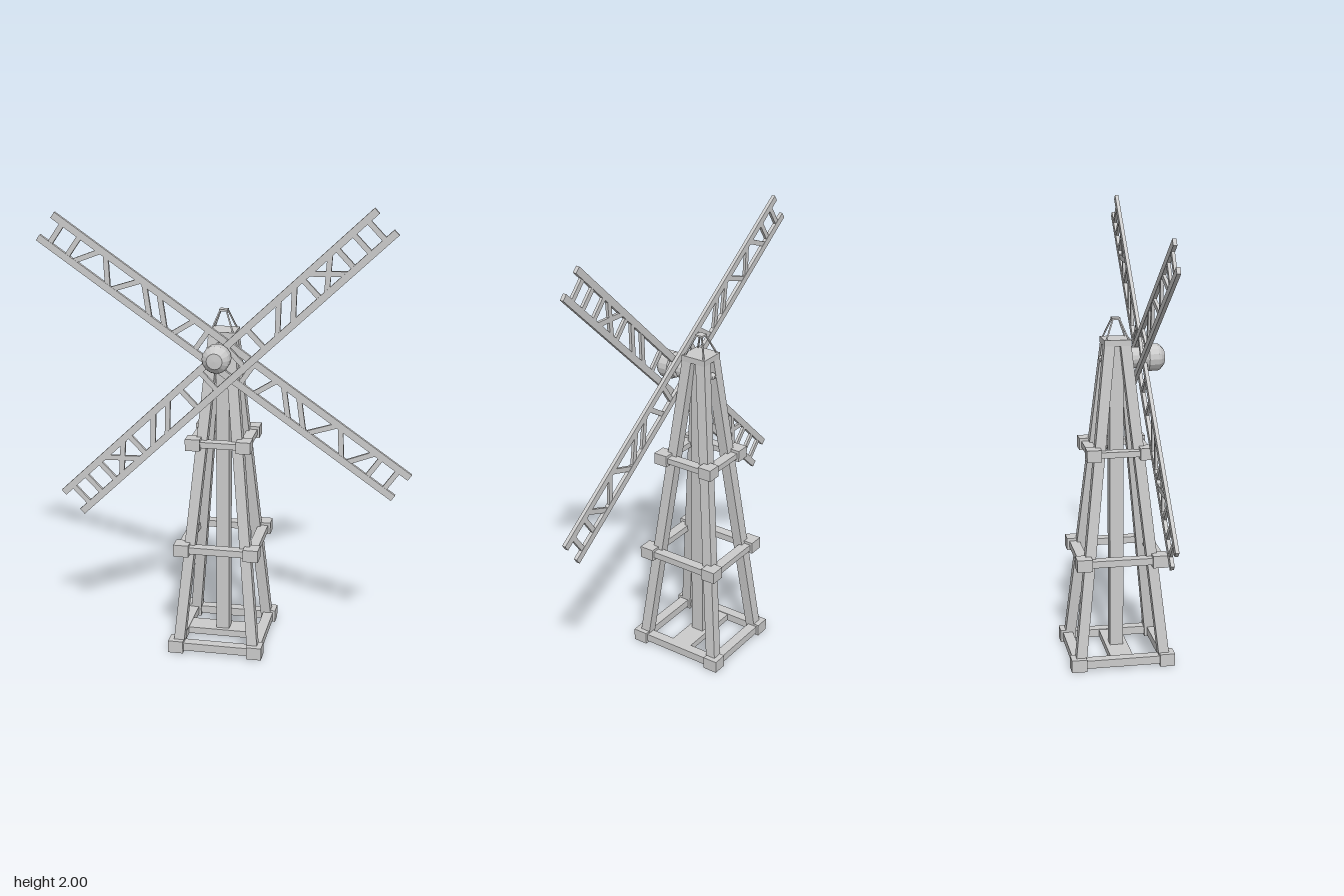
import * as THREE from 'three';

const mat = new THREE.MeshStandardMaterial({ color: 0xcccccc, flatShading: true });
const UP = new THREE.Vector3(0, 1, 0);
const CX = -0.02; // tower axis

function add(parent, name, geometry, x = 0, y = 0, z = 0) {
  const mesh = new THREE.Mesh(geometry, mat);
  mesh.name = name;
  mesh.position.set(x, y, z);
  parent.add(mesh);
  return mesh;
}

function box(parent, name, w, h, d, x, y, z) {
  return add(parent, name, new THREE.BoxGeometry(w, h, d), x, y, z);
}

// Square timber running between two points
function beam(parent, name, a, b, w, d) {
  const from = new THREE.Vector3(...a), to = new THREE.Vector3(...b);
  const dir = to.clone().sub(from);
  const mesh = add(parent, name, new THREE.BoxGeometry(w, dir.length(), d));
  mesh.position.copy(from).add(to).multiplyScalar(0.5);
  mesh.quaternion.setFromUnitVectors(UP, dir.normalize());
  return mesh;
}

// Calls fn for each of the four corners
function corners(fn) {
  for (const sx of [-1, 1]) for (const sz of [-1, 1]) fn(sx, sz);
}

// Square ring of bars with a block on each corner
function frame(parent, name, hx, hz, y, size, height, barHeight, barDepth) {
  const g = new THREE.Group();
  g.name = name;
  g.position.y = y;
  parent.add(g);
  const cx = hx - size / 2, cz = hz - size / 2;
  corners((sx, sz) => box(g, 'cornerBlock', size, height, size, sx * cx, 0, sz * cz));
  for (const s of [-1, 1]) {
    box(g, 'crossBar', 2 * cx, barHeight, barDepth, 0, 0, s * cz);
    box(g, 'sideBar', barDepth, barHeight, 2 * cz, s * cx, 0, 0);
  }
}

function makeTower() {
  const g = new THREE.Group();
  g.name = 'tower';
  g.position.x = CX;
  frame(g, 'baseFrame', 0.21, 0.23, 0.03, 0.067, 0.056, 0.036, 0.045);
  frame(g, 'lowerFrame', 0.188, 0.2, 0.482, 0.067, 0.054, 0.03, 0.045);
  frame(g, 'upperFrame', 0.143, 0.148, 0.957, 0.064, 0.052, 0.026, 0.045);
  box(g, 'floorPlank', 0.36, 0.03, 0.1, 0, 0.03, 0);
  box(g, 'centrePost', 0.058, 1.38, 0.06, 0, 0.735, 0);
  corners((sx, sz) => {
    beam(g, 'leg', [sx * 0.167, 0.03, sz * 0.186], [sx * 0.034, 1.425, sz * 0.034], 0.046, 0.046);
    beam(g, 'roofRod', [sx * 0.05, 1.435, sz * 0.05], [sx * 0.014, 1.525, sz * 0.014], 0.006, 0.006);
  });
  box(g, 'capPlate', 0.118, 0.026, 0.118, 0, 1.428, 0);
  box(g, 'roofTip', 0.036, 0.008, 0.036, 0, 1.526, 0);
  return g;
}

// Axle, collar and rounded nose, all turned around z
function makeHub() {
  const g = new THREE.Group();
  g.name = 'hub';
  g.position.set(CX, 1.352, 0);
  const turned = (name, points) => {
    const geo = new THREE.LatheGeometry(points.map(([r, z]) => new THREE.Vector2(r, z)), 16);
    add(g, name, geo.rotateX(Math.PI / 2));
  };
  turned('nose', [[0, 0.115], [0.048, 0.115], [0.052, 0.13], [0.06, 0.14], [0.06, 0.18],
    [0.054, 0.192], [0.034, 0.21], [0, 0.212]]);
  turned('collar', [[0, 0.045], [0.03, 0.045], [0.046, 0.065], [0.046, 0.1], [0.03, 0.115], [0, 0.115]]);
  turned('axle', [[0, -0.055], [0.012, -0.055], [0.012, 0.13], [0, 0.13]]);
  add(g, 'axleEnd', new THREE.SphereGeometry(0.015, 10, 8), 0, 0, -0.06);
  return g;
}

// Lattice sail: two long rails joined by struts [s0, s1], from lower to upper rail
function makeSail(name, x, y, z, degrees, struts) {
  const g = new THREE.Group();
  g.name = name;
  g.position.set(x, y, z);
  g.rotation.z = THREE.MathUtils.degToRad(degrees);
  const railY = 0.059;
  for (const s of [-1, 1]) box(g, 'rail', 1.87, 0.03, 0.016, 0, s * railY, 0);
  for (const side of [-1, 1]) {
    for (const [a, b] of struts) {
      beam(g, 'strut', [side * a, -side * railY, 0], [side * b, side * railY, 0], 0.022, 0.013);
    }
  }
  return g;
}

export function createModel() {
  const model = new THREE.Group();
  model.name = 'windmill';
  model.add(makeTower(), makeHub());
  model.add(makeSail('frontSail', -0.005, 1.297, 0.12, 43.8, [
    [0.88, 0.88], [0.8, 0.8], [0.71, 0.71], [0.68, 0.55], [0.55, 0.68], [0.52, 0.52],
    [0.36, 0.48], [0.27, 0.39], [0.2, 0.2], [0.08, 0.08]]));
  model.add(makeSail('rearSail', 0, 1.342, 0.095, -34.8, [
    [0.88, 0.88], [0.79, 0.79], [0.68, 0.76], [0.66, 0.57], [0.47, 0.56],
    [0.46, 0.35], [0.38, 0.27], [0.19, 0.24], [0.12, 0.12]]));
  return model;
}
